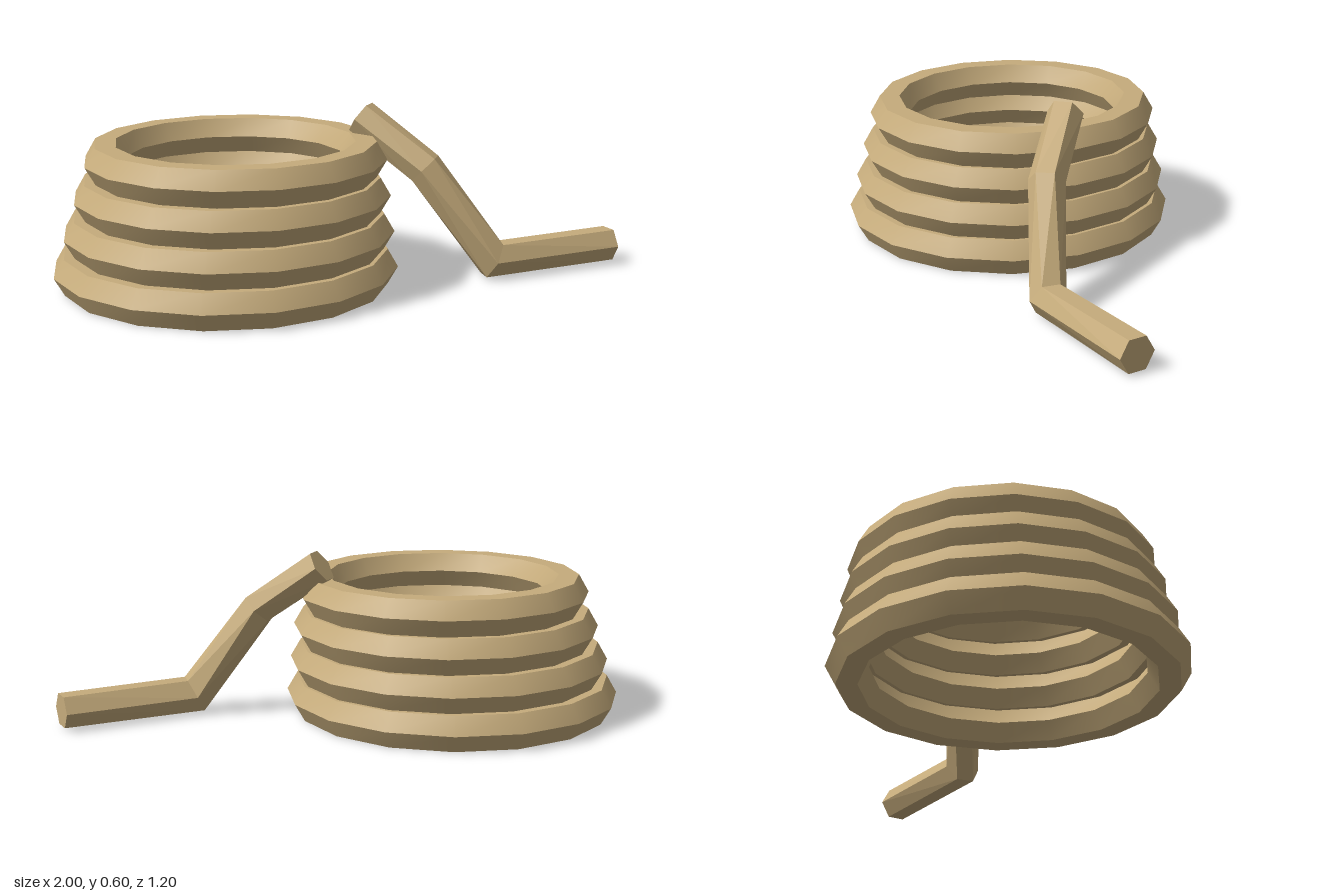
import * as THREE from 'three';
import { toCreasedNormals } from 'three/addons/utils/BufferGeometryUtils.js';

// Hexagonal rod along a path, kept upright, with mitred joints and flat caps
function mitredRod(points, radius, sides = 6) {
  const n = points.length;
  const up = new THREE.Vector3(0, 1, 0);
  const dirs = points.slice(1).map((p, i) => p.clone().sub(points[i]).normalize());

  // Each section lies in its joint plane and is widened to keep the rod's thickness
  const sections = points.map((p, i) => {
    const before = dirs[Math.max(i - 1, 0)];
    const after = dirs[Math.min(i, n - 2)];
    const tangent = before.clone().add(after).normalize();
    const u = new THREE.Vector3().crossVectors(up, tangent).normalize();
    const v = new THREE.Vector3().crossVectors(tangent, u);
    const stretch = 1 / tangent.dot(after);
    return Array.from({ length: sides }, (_, k) => {
      const a = (k / sides) * Math.PI * 2;
      return p.clone()
        .addScaledVector(u, radius * Math.cos(a))
        .addScaledVector(v, radius * stretch * Math.sin(a));
    });
  });

  const positions = [];
  const tri = (...corners) => corners.forEach((c) => positions.push(c.x, c.y, c.z));
  for (let k = 0; k < sides; k++) {
    const m = (k + 1) % sides;
    for (let i = 0; i < n - 1; i++) {
      const [a, b] = [sections[i], sections[i + 1]];
      tri(a[k], a[m], b[m]);
      tri(a[k], b[m], b[k]);
    }
    tri(points[0], sections[0][m], sections[0][k]);
    tri(points[n - 1], sections[n - 1][k], sections[n - 1][m]);
  }
  const geometry = new THREE.BufferGeometry();
  geometry.setAttribute('position', new THREE.Float32BufferAttribute(positions, 3));
  geometry.computeVertexNormals();
  return geometry;
}

export function createModel() {
  const model = new THREE.Group();
  model.name = 'ropeCoil';
  const rope = new THREE.MeshStandardMaterial({ color: 0xc6ac7c });
  rope.name = 'rope tan';

  // Stacked loops, each a little smaller and shifted toward the loose end
  const tube = 0.072;
  for (let i = 0; i < 4; i++) {
    const ring = new THREE.TorusGeometry(0.528 - i * 0.0257, tube, 6, 16);
    ring.rotateX(Math.PI / 2);
    const loop = new THREE.Mesh(toCreasedNormals(ring, 0.7), rope);
    loop.name = `ropeLoop${i + 1}`;
    loop.position.set(-0.4 + i * 0.0133, 0.0625 + i * 0.125, 0);
    model.add(loop);
  }

  // Loose end hanging over the side and lying on the ground
  const path = [
    [0.097, 0.555, 0.003],
    [0.28, 0.388, 0.16],
    [0.497, 0.066, 0.26],
    [0.99, 0.066, 0.197],
  ].map((p) => new THREE.Vector3(...p));
  const looseEnd = new THREE.Mesh(mitredRod(path, 0.064), rope);
  looseEnd.name = 'looseEnd';
  model.add(looseEnd);

  return model;
}
